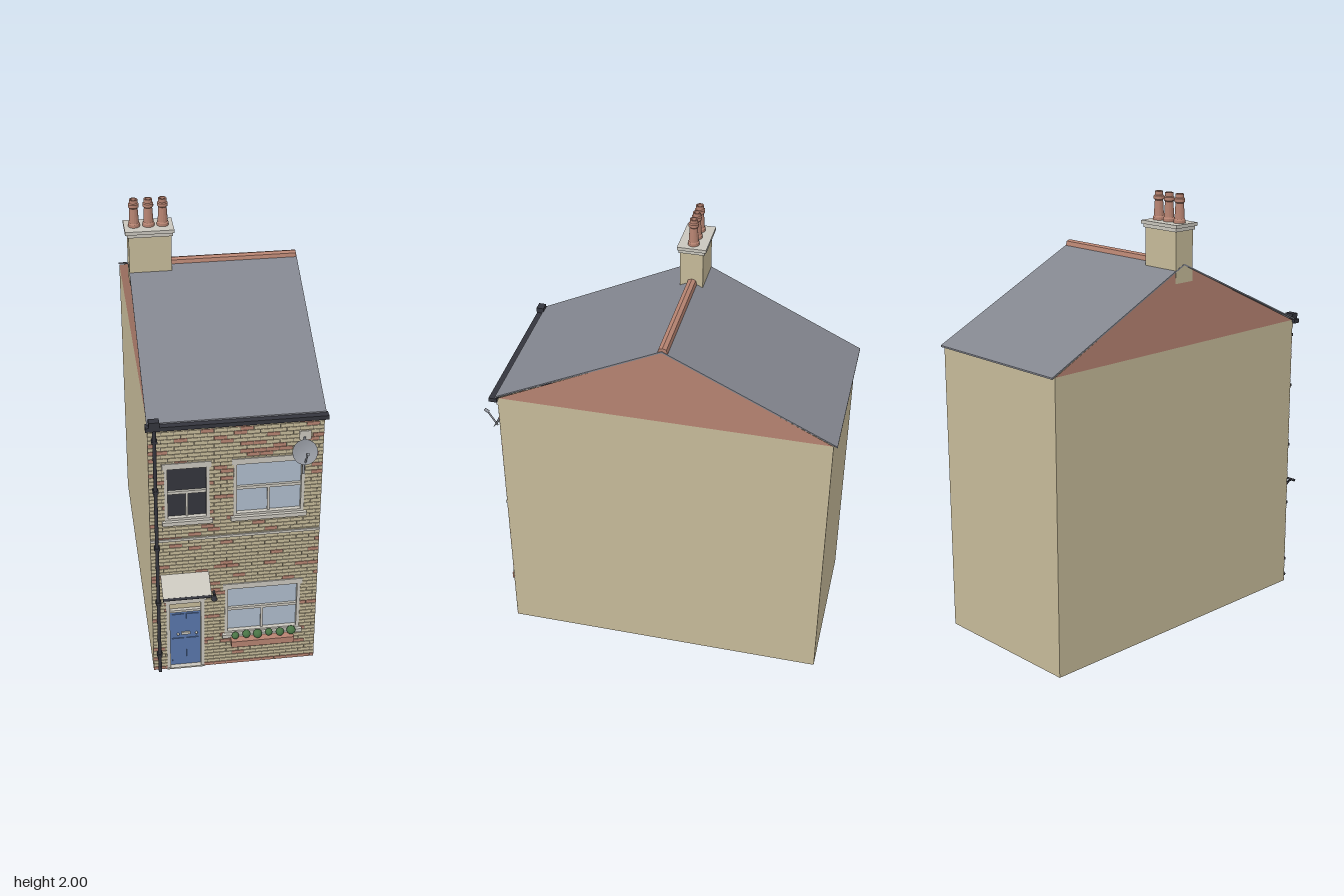
import * as THREE from 'three';
import { mergeGeometries } from 'three/addons/utils/BufferGeometryUtils.js';

const mat = (name, color, side = THREE.FrontSide) => {
  const m = new THREE.MeshStandardMaterial({ color, side });
  m.name = name;
  return m;
};

export function createModel() {
  const house = new THREE.Group();
  house.name = 'terracedHouse';
  const D = THREE.DoubleSide;
  const tan = mat('tanBrick', 0xc6ba99, D), clay = mat('terracotta', 0xb68371, D);
  const slate = mat('slate', 0x82858e, D), iron = mat('blackIron', 0x34353d, D);
  const stone = mat('paleStone', 0xc9c6bd, D), glass = mat('paleGlass', 0xaebccc, D);
  const blue = mat('doorBlue', 0x5876ab, D), green = mat('leafGreen', 0x4a7546);
  const mortar = mat('mortar', 0x696357, D), metal = mat('dishGrey', 0x92969e, D);

  const add = (name, geo, m, parent = house) => {
    const mesh = new THREE.Mesh(geo, m);
    mesh.name = name;
    parent.add(mesh);
    return mesh;
  };
  // Box given by its limits on each axis
  const boxGeo = (x0, x1, y0, y1, z0, z1) => new THREE.BoxGeometry(x1 - x0, y1 - y0, z1 - z0)
    .translate((x0 + x1) / 2, (y0 + y1) / 2, (z0 + z1) / 2);
  const box = (name, m, lim, parent) => add(name, boxGeo(...lim), m, parent);
  // Round bar between two points
  const rod = (name, m, a, b, r, parent) => {
    const p = new THREE.Vector3(...a), q = new THREE.Vector3(...b);
    const mesh = add(name, new THREE.CylinderGeometry(r, r, p.distanceTo(q), 10), m, parent);
    mesh.position.copy(p).add(q).multiplyScalar(0.5);
    mesh.quaternion.setFromUnitVectors(new THREE.Vector3(0, 1, 0), q.sub(p).normalize());
    return mesh;
  };
  // Flat four-cornered sheet
  const sheet = (name, m, pts, parent) => {
    const g = new THREE.BufferGeometry();
    g.setAttribute('position', new THREE.Float32BufferAttribute(pts.flat(), 3));
    g.setIndex([0, 1, 2, 0, 2, 3]);
    g.computeVertexNormals();
    return add(name, g, m, parent);
  };
  const group = (name) => {
    const g = new THREE.Group();
    g.name = name;
    house.add(g);
    return g;
  };

  const W = 0.37, H = 1.335, F = 0.695, B = -0.785, RZ = -0.045, RY = 1.702;

  // Plain side and back walls, open underneath
  for (const s of [-1, 1]) {
    const x = s * W;
    const pts = [[x, 0, F], [x, 0, B], [x, H, B], [x, H, F]];
    sheet('sideWall', tan, s > 0 ? pts : pts.reverse());
    const gable = new THREE.Shape([[F, H], [RZ, RY - 0.006], [B, H]].map((p) => new THREE.Vector2(-p[0], p[1])));
    const g = add('gable', new THREE.ShapeGeometry(gable), clay);
    g.rotation.y = Math.PI / 2;
    g.position.x = x;
    if (s < 0) {
      g.rotation.y = -Math.PI / 2;
      g.scale.x = -1;
    }
  }
  sheet('backWall', tan, [[W, 0, B], [-W, 0, B], [-W, H, B], [W, H, B]]);

  // Openings in the front: x0, x1, y0, y1
  const door = [-0.308, -0.137, 0, 0.39];
  const darkWin = [-0.305, -0.112, 0.835, 1.115];
  const upperWin = [-0.01, 0.295, 0.835, 1.115];
  const lowerWin = [-0.045, 0.295, 0.18, 0.45];
  const openings = [door, darkWin, upperWin, lowerWin];

  const rect = (C, x0, x1, y0, y1) => new C([[x0, y0], [x1, y0], [x1, y1], [x0, y1]]
    .map((p) => new THREE.Vector2(...p)));
  const wall = rect(THREE.Shape, -W, W, 0, H);
  for (const [a, b, c, d] of openings) {
    wall.holes.push(rect(THREE.Path, a, b, Math.max(c, 0.001), d));
  }
  add('mortarWall', new THREE.ShapeGeometry(wall), mortar).position.z = F;

  // Brick courses, cut around the openings
  let seed = 7;
  const rnd = () => (seed = (seed * 16807) % 2147483647) / 2147483647;
  const course = 0.0187, length = 0.0555, gap = 0.0028;
  const bricks = { tan: [], clay: [] };
  for (let i = 0; i * course < 1.32; i++) {
    const y0 = i * course, y1 = y0 + course - gap;
    for (let x = -W - (i % 2) * length / 2; x < W; x += length) {
      const red = rnd() < 0.12 || i === 0;
      let a = Math.max(x, -W), b = Math.min(x + length - gap, W);
      for (const [ox0, ox1, oy0, oy1] of openings) {
        if (y1 < oy0 || y0 > oy1 || b < ox0 || a > ox1) continue;
        if (a < ox0) b = ox0;
        else if (b > ox1) a = ox1;
        else b = a;
      }
      if (b - a > 0.004) bricks[red ? 'clay' : 'tan'].push(boxGeo(a, b, y0, y1, F, F + 0.003));
    }
  }
  add('tanBricks', mergeGeometries(bricks.tan), tan);
  add('redBricks', mergeGeometries(bricks.clay), clay);

  // Stone bands
  box('floorBand', stone, [-W, W, 0.728, 0.74, F, F + 0.008]);
  box('eavesBand', stone, [-W, W, 1.298, 1.316, F, F + 0.008]);

  // Sash windows
  const sash = (name, [x0, x1, y0, y1], pane) => {
    const g = group(name);
    const t = 0.014, mid = (y0 + y1) / 2, cx = (x0 + x1) / 2;
    const frame = rect(THREE.Shape, x0, x1, y0, y1);
    frame.holes.push(rect(THREE.Path, x0 + t, x1 - t, y0 + t, y1 - t));
    add('frame', new THREE.ExtrudeGeometry(frame, { depth: 0.034, bevelEnabled: false }), stone, g)
      .position.z = F - 0.03;
    box('pane', pane, [x0 + t, x1 - t, y0 + t, y1 - t, F - 0.021, F - 0.015], g);
    box('meetingRail', stone, [x0 + t, x1 - t, mid - 0.007, mid + 0.007, F - 0.018, F - 0.004], g);
    box('glazingBar', stone, [cx - 0.005, cx + 0.005, y0 + t, mid, F - 0.018, F - 0.007], g);
    box('sill', stone, [x0 - 0.012, x1 + 0.012, y0 - 0.016, y0 + 0.003, F - 0.02, F + 0.018], g);
    box('lintel', stone, [x0 - 0.008, x1 + 0.008, y1 - 0.012, y1 + 0.016, F - 0.01, F + 0.007], g);
  };
  sash('darkWindow', darkWin, iron);
  sash('upperWindow', upperWin, glass);
  sash('lowerWindow', lowerWin, glass);

  // Front door
  const dg = group('frontDoor');
  const [dx0, dx1, , dy1] = door;
  box('leaf', blue, [dx0 + 0.016, dx1 - 0.016, 0.006, 0.325, F - 0.024, F - 0.014], dg);
  for (const [a, b] of [[0.03, 0.165], [0.215, 0.305]]) {
    for (const x of [-0.282, -0.217]) {
      box('panel', blue, [x, x + 0.054, a, b, F - 0.015, F - 0.01], dg);
    }
  }
  for (const x of [dx0, dx1 - 0.016]) box('jamb', stone, [x, x + 0.016, 0, dy1, F - 0.03, F + 0.005], dg);
  box('transom', stone, [dx0, dx1, 0.325, 0.337, F - 0.03, F], dg);
  box('fanlight', tan, [dx0 + 0.016, dx1 - 0.016, 0.337, 0.378, F - 0.022, F - 0.015], dg);
  box('doorHead', stone, [dx0, dx1, 0.378, dy1, F - 0.03, F + 0.005], dg);
  box('lintel', stone, [dx0 - 0.01, dx1 + 0.01, dy1, 0.415, F - 0.01, F + 0.008], dg);
  box('step', stone, [dx0, dx1, 0, 0.007, F - 0.03, F + 0.008], dg);
  box('letterPlate', stone, [-0.24, -0.2, 0.186, 0.2, F - 0.014, F - 0.008], dg);
  for (const x of [-0.255, -0.172]) {
    add('knob', new THREE.SphereGeometry(0.006, 10, 8), stone, dg).position.set(x, 0.192, F - 0.008);
  }

  // Sloping canopy on iron brackets
  const cg = group('canopy');
  const c0 = -0.33, c1 = -0.117;
  sheet('cover', stone, [[c0, 0.497, 0.805], [c1, 0.497, 0.805], [c1, 0.548, F + 0.004], [c0, 0.548, F + 0.004]], cg);
  rod('frontBar', iron, [c0, 0.493, 0.804], [c1, 0.493, 0.804], 0.006, cg);
  for (const x of [-0.313, -0.133]) {
    rod('arm', iron, [x, 0.492, F], [x, 0.492, 0.804], 0.004, cg);
    rod('brace', iron, [x, 0.428, F], [x, 0.49, 0.78], 0.004, cg);
    rod('wallBar', iron, [x, 0.418, F + 0.005], [x, 0.495, F + 0.005], 0.004, cg);
  }

  // Wall lamp beside the door
  box('lampArm', iron, [-0.1, -0.09, 0.425, 0.435, F, F + 0.025]);
  add('lampShade', new THREE.CylinderGeometry(0.007, 0.014, 0.025, 12), iron).position.set(-0.095, 0.415, F + 0.024);

  // Planter and shrubs
  box('planter', clay, [-0.02, 0.265, 0.137, 0.17, F + 0.004, F + 0.053]);
  for (let i = 0; i < 6; i++) {
    const r = 0.017 + (i % 3) * 0.002;
    add('shrub', new THREE.IcosahedronGeometry(r, 1), green).position.set(i * 0.051, 0.188 + (i % 2) * 0.004, F + 0.03);
  }

  // Roof slopes with thin edges, and the ridge tiles
  for (const [name, ez, ey] of [['frontRoof', 0.708, 1.342], ['backRoof', -0.802, 1.338]]) {
    const s = new THREE.Shape([[ez, ey], [RZ, RY], [RZ, RY - 0.007], [ez, ey - 0.007]]
      .map((p) => new THREE.Vector2(-p[0], p[1])));
    const m = add(name, new THREE.ExtrudeGeometry(s, { depth: 0.746, bevelEnabled: false }), slate);
    m.rotation.y = Math.PI / 2;
    m.position.x = -0.373;
  }
  const ridge = new THREE.Shape([[-0.022, -0.012], [0.022, -0.012], [0.017, 0.008], [0, 0.014], [-0.017, 0.008]]
    .map((p) => new THREE.Vector2(...p)));
  const rm = add('ridgeTiles', new THREE.ExtrudeGeometry(ridge, { depth: 0.56, bevelEnabled: false }), clay);
  rm.rotation.y = Math.PI / 2;
  rm.position.set(-0.19, RY, RZ - 0.003);

  // Chimney stack, stepped cap and pots
  box('chimneyStack', tan, [-0.372, -0.187, 1.62, 1.85, -0.097, 0.006]);
  box('chimneyCapLower', stone, [-0.378, -0.181, 1.845, 1.861, -0.104, 0.012]);
  box('chimneyCapUpper', stone, [-0.387, -0.174, 1.861, 1.876, -0.112, 0.018]);
  const pot = [[0.026, 0], [0.026, 0.012], [0.022, 0.018], [0.018, 0.085], [0.023, 0.09], [0.023, 0.104],
    [0.018, 0.108], [0.018, 0.124], [0.012, 0.124], [0.012, 0.07], [0, 0.07]].map((p) => new THREE.Vector2(...p));
  for (const x of [-0.343, -0.28, -0.218]) {
    const p = new THREE.LatheGeometry(pot, 16).toNonIndexed();
    p.computeVertexNormals();
    add('chimneyPot', p, clay).position.set(x, 1.876, -0.047);
  }

  // Gutter, hopper and downpipe
  box('gutter', iron, [-0.38, 0.38, 1.317, 1.336, F + 0.004, F + 0.04]);
  box('hopper', iron, [-0.366, -0.322, 1.325, 1.361, F + 0.008, F + 0.042]);
  rod('downpipe', iron, [-0.343, 0.03, 0.715], [-0.343, 1.33, 0.715], 0.008);
  rod('pipeShoe', iron, [-0.343, 0.035, 0.715], [-0.343, 0.015, 0.73], 0.008);
  for (const y of [0.1, 0.4, 0.7, 1, 1.25]) {
    box('pipeClip', iron, [-0.355, -0.331, y, y + 0.012, F, 0.725]);
  }

  // Satellite dish: shallow bowl tilted upward, receiver on an arm
  const sd = group('satelliteDish');
  const bowl = [0, 0.018, 0.036, 0.054].map((r) => new THREE.Vector2(r, r * r * 4));
  const dish = add('bowl', new THREE.LatheGeometry(bowl, 24), metal, sd);
  dish.position.set(0.285, 1.157, 0.722);
  dish.rotation.x = 1.12;
  box('wallPlate', stone, [0.265, 0.315, 1.205, 1.248, F, F + 0.008], sd);
  rod('mountPole', metal, [0.287, 1.035, F + 0.01], [0.287, 1.22, F + 0.01], 0.005, sd);
  rod('receiverArm', metal, [0.285, 1.115, 0.742], [0.285, 1.185, 0.785], 0.004, sd);
  rod('receiver', metal, [0.285, 1.182, 0.779], [0.285, 1.194, 0.798], 0.007, sd);

  return house;
}
